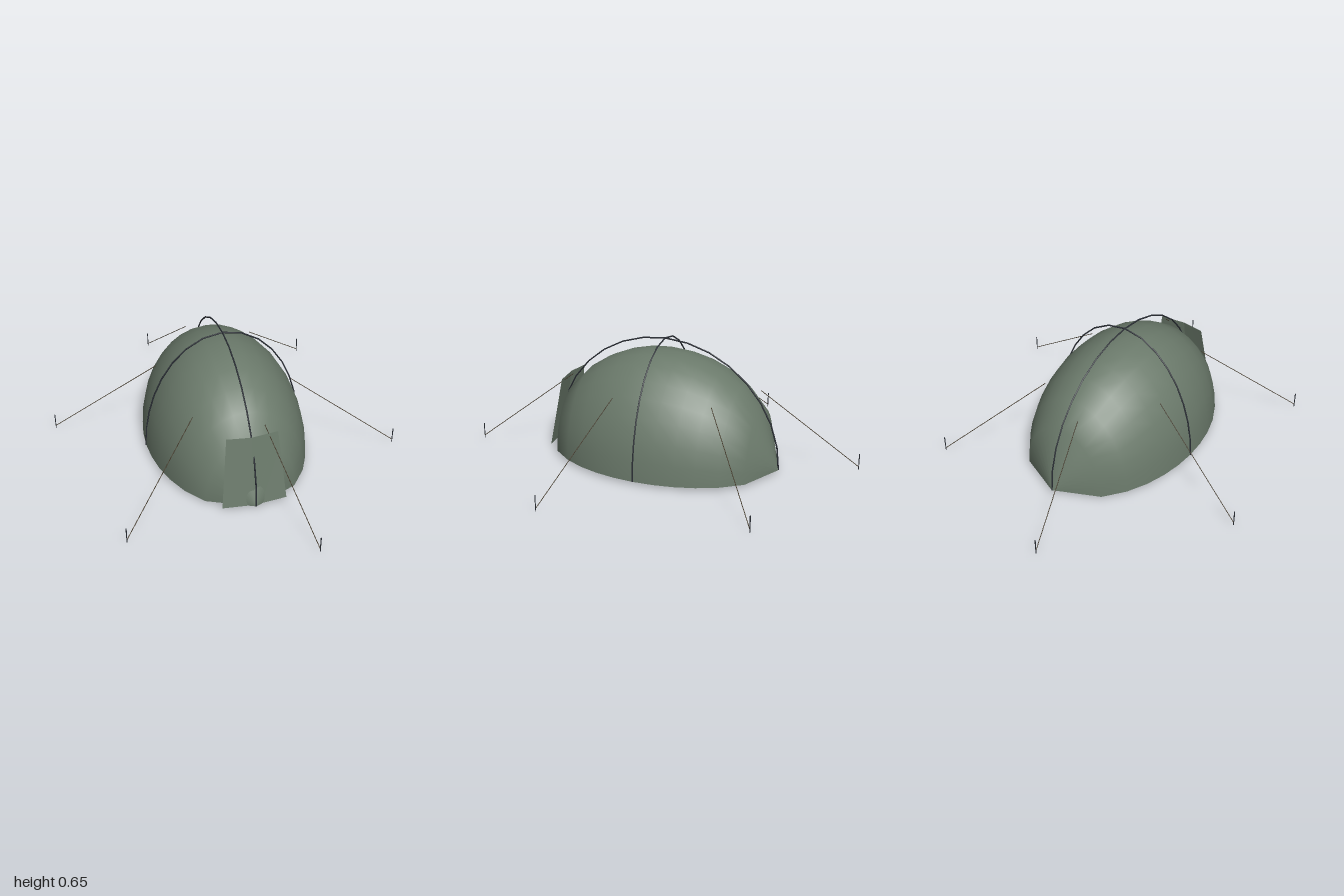
import * as THREE from 'three';

const FLOOR = 0.015;

const paint = (color, side = THREE.FrontSide) => new THREE.MeshStandardMaterial({ color, side });

function add(parent, name, geometry, material) {
  const mesh = new THREE.Mesh(geometry, material);
  mesh.name = name;
  parent.add(mesh);
  return mesh;
}

// Open half ellipsoid lofted from arches at even steps along z, pointed at both ends
function canopyGeometry(rx, ry, rz) {
  const geo = new THREE.PlaneGeometry(1, 1, 16, 12);
  const pos = geo.attributes.position;
  for (let i = 0; i < pos.count; i++) {
    const angle = (pos.getX(i) + 0.5) * Math.PI;
    const t = pos.getY(i) * 2;
    const s = Math.sqrt(Math.max(0, 1 - t * t));
    pos.setXYZ(i, Math.cos(angle) * rx * s, FLOOR + Math.sin(angle) * ry * s, t * rz);
  }
  geo.computeVertexNormals();
  return geo;
}

// Bent pole following half an ellipse, made of straight segments
function poleGeometry(rx, rz, height) {
  const points = [];
  for (let i = 0; i <= 16; i++) {
    const a = (i / 16) * Math.PI;
    points.push(new THREE.Vector3(Math.cos(a) * rx, FLOOR + Math.sin(a) * height, Math.cos(a) * rz));
  }
  return new THREE.TubeGeometry(new THREE.CatmullRomCurve3(points), 16, 0.004, 6);
}

// One tapered door panel; side is +1 for left, -1 for right
function flapGeometry(side) {
  const inner = -0.008;
  const corners = [
    [inner, 0.385, 0.557], [0.13 * side, 0.385, 0.54],
    [inner, FLOOR, 0.618], [0.165 * side, FLOOR, 0.602],
  ];
  const geo = new THREE.PlaneGeometry(1, 1);
  // Keep the outward winding by swapping columns on the right panel
  corners.forEach((c, i) => geo.attributes.position.setXYZ(side > 0 ? i : i ^ 1, ...c));
  geo.computeVertexNormals();
  return geo;
}

export function createModel() {
  const tent = new THREE.Group();
  tent.name = 'tent';
  const fabric = paint(0x6b7a6b, THREE.DoubleSide);
  const poleMat = paint(0x2a2e35);
  const ropeMat = paint(0x4a4030);

  add(tent, 'canopy', canopyGeometry(0.42, 0.57, 0.632), fabric);

  // Crossing arches
  add(tent, 'poleAcross', poleGeometry(0.42, 0, 0.63), poleMat);
  add(tent, 'poleAlong', poleGeometry(0, 0.63, 0.63), poleMat);

  // Door panels
  add(tent, 'leftDoorFlap', flapGeometry(1), fabric);
  add(tent, 'rightDoorFlap', flapGeometry(-1), fabric);

  // Guy ropes and stakes, placed in opposite pairs
  for (const [x, z] of [[0.2, 1], [0.86, 0.3], [0.66, -0.7]]) {
    for (const s of [1, -1]) {
      const guy = new THREE.Group();
      guy.name = 'guyLine';
      tent.add(guy);
      const rope = new THREE.LineCurve3(
        new THREE.Vector3(x * s * 0.375, 0.405, z * s * 0.5),
        new THREE.Vector3(x * s, FLOOR, z * s),
      );
      add(guy, 'rope', new THREE.TubeGeometry(rope, 1, 0.002, 5), ropeMat);
      const stake = add(guy, 'stake', new THREE.CylinderGeometry(0.003, 0.002, 0.085, 6), poleMat);
      stake.position.set(x * s, 0.0425, z * s);
    }
  }
  return tent;
}
